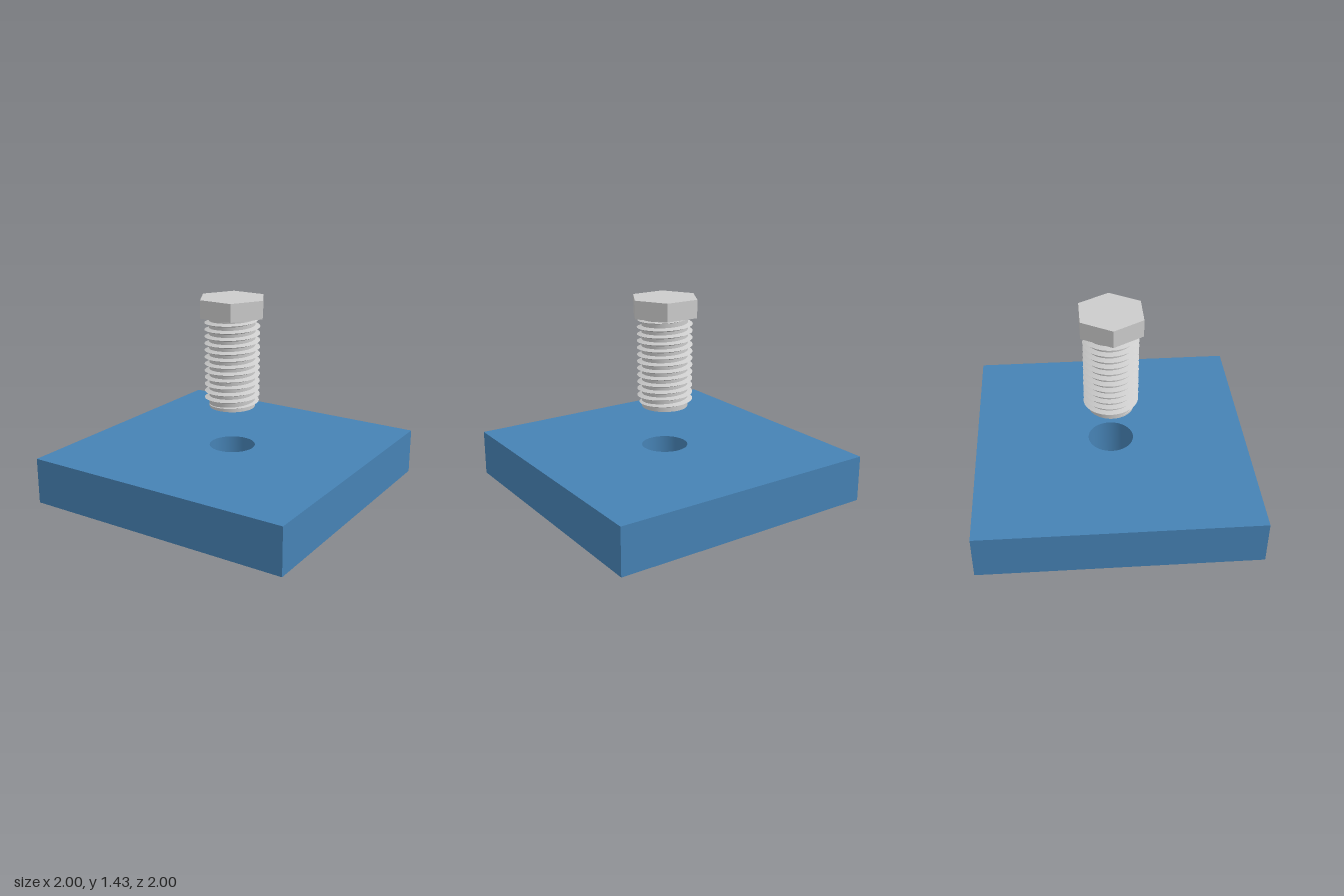
import * as THREE from 'three';
import { toCreasedNormals } from 'three/addons/utils/BufferGeometryUtils.js';

const CORE_R = 0.165, CREST_R = 0.199, HOLE_R = 0.167;
const PITCH = 0.05, THREAD_BOTTOM = 0.65, TURNS = 13;

function add(group, name, geometry, material, y = 0) {
  const mesh = new THREE.Mesh(geometry, material);
  mesh.name = name;
  mesh.position.y = y;
  group.add(mesh);
  return mesh;
}

// Right-handed helical ridge with a triangular section, fading out at both ends
function threadGeometry(segmentsPerTurn = 48, halfBase = 0.015, fadeTurns = 0.7) {
  const steps = TURNS * segmentsPerTurn;
  const positions = [], indices = [];
  for (let i = 0; i <= steps; i++) {
    const turn = i / segmentsPerTurn;
    const angle = -Math.PI + turn * Math.PI * 2;
    const fade = Math.min(1, turn / fadeTurns, (TURNS - turn) / fadeTurns);
    const y = THREAD_BOTTOM + turn * PITCH;
    const rootR = CORE_R - 0.003;
    const crestR = rootR + (CREST_R - rootR) * fade;
    const half = halfBase * Math.max(fade, 0.05);
    for (const [r, dy] of [[rootR, -half], [crestR, 0], [rootR, half]]) {
      positions.push(r * Math.cos(angle), y + dy, -r * Math.sin(angle));
    }
    if (i < steps) {
      for (const k of [0, 1]) {
        const a = i * 3 + k, b = a + 3;
        indices.push(a, b, b + 1, a, b + 1, a + 1);
      }
    }
  }
  const geometry = new THREE.BufferGeometry();
  geometry.setAttribute('position', new THREE.Float32BufferAttribute(positions, 3));
  geometry.setIndex(indices);
  return toCreasedNormals(geometry, Math.PI / 6);
}

// Square slab with a round through-hole
function plateGeometry(size, height) {
  const h = size / 2;
  const shape = new THREE.Shape([
    new THREE.Vector2(-h, -h), new THREE.Vector2(h, -h),
    new THREE.Vector2(h, h), new THREE.Vector2(-h, h),
  ]);
  shape.holes.push(new THREE.Path().absarc(0, 0, HOLE_R, 0, Math.PI * 2, true));
  const geometry = new THREE.ExtrudeGeometry(shape, {
    depth: height, bevelEnabled: false, curveSegments: 48,
  });
  geometry.rotateX(-Math.PI / 2);
  return toCreasedNormals(geometry, Math.PI / 6);
}

export function createModel() {
  const model = new THREE.Group();
  model.name = 'boltAndPlate';
  const blue = new THREE.MeshStandardMaterial({ color: 0x4682b4 });
  const grey = new THREE.MeshStandardMaterial({ color: 0xcccccc });
  const greyFlat = new THREE.MeshStandardMaterial({ color: 0xcccccc, flatShading: true });

  add(model, 'plate', plateGeometry(2, 0.335), blue);

  // Bolt hovering above the hole
  const bolt = new THREE.Group();
  bolt.name = 'bolt';
  model.add(bolt);

  // Hexagonal head with corners on the x axis
  const head = new THREE.CylinderGeometry(0.25, 0.25, 0.13, 6);
  head.rotateY(Math.PI / 6);
  add(bolt, 'hexHead', head, greyFlat, 1.37);

  const shankBottom = 0.637, shankTop = 1.305;
  add(bolt, 'shank', new THREE.CylinderGeometry(CORE_R, CORE_R, shankTop - shankBottom, 48),
    grey, (shankTop + shankBottom) / 2);

  const threadMaterial = grey.clone();
  threadMaterial.side = THREE.DoubleSide;
  add(bolt, 'thread', threadGeometry(), threadMaterial);

  return model;
}
